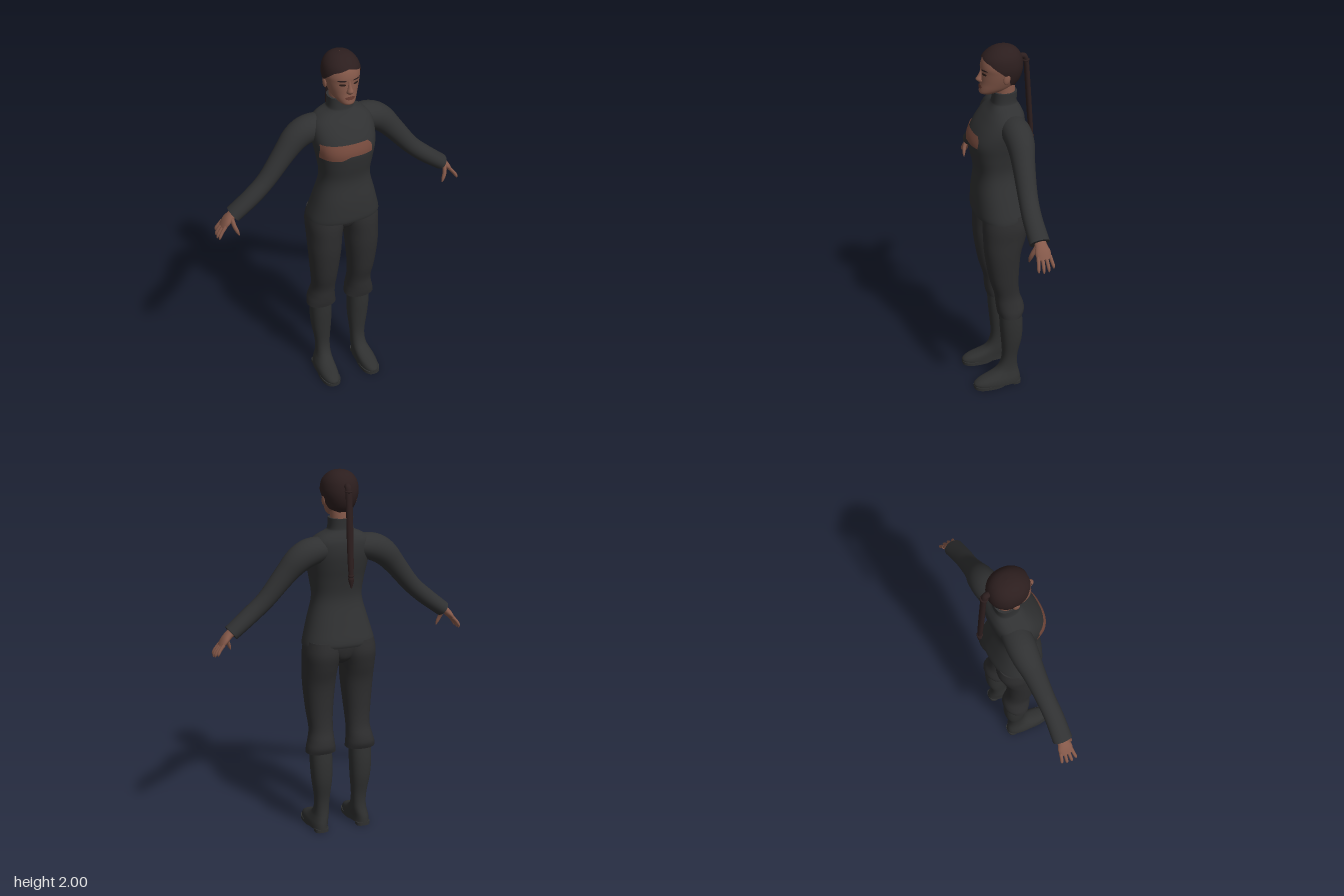
import * as THREE from 'three';

const mat = (name, color) => {
  const m = new THREE.MeshStandardMaterial({ color });
  m.name = name;
  return m;
};

// Smooth interpolation through a list of equal-length rows, t in 0..rows-1
function sample(rows, t) {
  const last = rows.length - 1;
  const i = Math.min(Math.floor(t), last - 1), f = t - i;
  const at = k => rows[Math.max(0, Math.min(last, k))];
  const [a, b, c, d] = [at(i - 1), at(i), at(i + 1), at(i + 2)];
  return b.map((_, k) => b[k] + 0.5 * f * (c[k] - a[k] + f * (2 * a[k] - 5 * b[k] + 4 * c[k] - d[k]
    + f * (3 * (b[k] - c[k]) + d[k] - a[k]))));
}

// Surface grid from f(u, v); closed grids wrap in u and may have end caps
function grid(nu, nv, f, closed = true, caps = true) {
  const pos = [], idx = [], cols = closed ? nu : nu + 1;
  for (let i = 0; i <= nv; i++)
    for (let j = 0; j < cols; j++) pos.push(...f(j / nu, i / nv));
  for (let i = 0; i < nv; i++)
    for (let j = 0; j < nu; j++) {
      const k = (j + 1) % cols;
      const a = i * cols + j, b = i * cols + k, c = b + cols, d = a + cols;
      idx.push(a, b, c, a, c, d);
    }
  if (closed && caps) for (const end of [0, nv]) {
    const base = pos.length / 3, mid = [0, 0, 0];
    for (let j = 0; j < nu; j++) {
      const p = f(j / nu, end / nv);
      pos.push(...p);
      p.forEach((c, k) => { mid[k] += c / nu; });
    }
    pos.push(...mid);
    for (let j = 0; j < nu; j++) {
      const a = base + j, b = base + (j + 1) % nu;
      idx.push(base + nu, ...(end ? [a, b] : [b, a]));
    }
  }
  const g = new THREE.BufferGeometry();
  g.setAttribute('position', new THREE.Float32BufferAttribute(pos, 3));
  g.setIndex(idx);
  g.computeVertexNormals();
  return g;
}

// Upright section: row = [y, centre x, half width, front z, back z]
const spow = (v, p) => Math.sign(v) * Math.abs(v) ** p;
function section([y, cx, w, zf, zb], angle, n) {
  return [cx + w * spow(Math.sin(angle), 2 / n), y,
    (zf + zb) / 2 + (zf - zb) / 2 * spow(Math.cos(angle), 2 / n)];
}
const upright = (rows, n = 2, seg = 32, caps = true) => grid(seg, (rows.length - 1) * 4,
  (u, v) => section(sample(rows, v * (rows.length - 1)), u * Math.PI * 2, n), true, caps);

function rowAtY(rows, y) {
  let lo = 0, hi = rows.length - 1;
  for (let i = 0; i < 30; i++) {
    const m = (lo + hi) / 2;
    if (sample(rows, m)[0] < y) lo = m; else hi = m;
  }
  return sample(rows, lo);
}

// Thin patch lying on the front of an upright surface, span(u) gives [x, low y, high y]
const patch = (rows, n, span, lift = 0.004, nu = 24, nv = 6) => grid(nu, nv, (u, v) => {
  const [x, lo, hi] = span(u), y = lo + (hi - lo) * v;
  const [, cx, w, zf, zb] = rowAtY(rows, y);
  const r = Math.min(Math.abs(x - cx) / w, 0.985);
  return [x * 1.01, y, (zf + zb) / 2 + (zf - zb) / 2 * (1 - r ** n) ** (1 / n) + lift];
}, false);
const oval = (x, y, hw, hh) => u => {
  const s = u * 2 - 1, h = hh * Math.sqrt(Math.max(0, 1 - s * s));
  return [x + s * hw, y - h, y + h];
};

// Limb along a path: row = [x, y, z, radius along ref, radius across]
function limb(rows, seg = 20, steps = 4, ref = [0, 0, 1]) {
  const n = rows.length - 1, V = a => new THREE.Vector3(...a.slice(0, 3));
  return grid(seg, n * steps, (u, v) => {
    const t = v * n, r = sample(rows, t);
    const T = V(sample(rows, Math.min(n, t + 0.05))).sub(V(sample(rows, Math.max(0, t - 0.05)))).normalize();
    const A = V(ref).addScaledVector(T, -V(ref).dot(T)).normalize(), B = T.clone().cross(A);
    const a = u * Math.PI * 2;
    return V(r).addScaledVector(A, r[3] * Math.cos(a)).addScaledVector(B, r[4] * Math.sin(a)).toArray();
  });
}

function mirrored(geo) {
  const g = geo.clone().scale(-1, 1, 1), ix = g.index.array;
  for (let i = 0; i < ix.length; i += 3) [ix[i], ix[i + 1]] = [ix[i + 1], ix[i]];
  g.computeVertexNormals();
  return g;
}

export function createModel() {
  const model = new THREE.Group();
  const cloth = mat('charcoal cloth', 0x303132), trouser = mat('dark trousers', 0x2d2d2e);
  const leather = mat('boot leather', 0x2f3030), skin = mat('skin', 0x85594a);
  const badge = mat('brown panel', 0x74493c), hairMat = mat('dark hair', 0x2c1e1e);
  const lipMat = mat('lips', 0x63392f), eyeMat = mat('eyes', 0x2a1c18);
  badge.side = hairMat.side = THREE.DoubleSide;
  const add = (name, geo, m) => {
    const mesh = new THREE.Mesh(geo, m);
    mesh.name = name;
    model.add(mesh);
  };
  const pair = (name, geo, m) => {
    add('left' + name, geo, m);
    add('right' + name, mirrored(geo), m);
  };

  // Tunic with high collar
  const torso = [
    [1.07, 0, .197, .145, -.123], [1.10, 0, .192, .15, -.127], [1.20, 0, .165, .148, -.1],
    [1.32, 0, .135, .137, -.072], [1.42, 0, .145, .155, -.085], [1.50, 0, .16, .164, -.105],
    [1.57, 0, .168, .135, -.118], [1.63, 0, .16, .092, -.117], [1.665, 0, .125, .062, -.105],
    [1.688, 0, .078, .045, -.092], [1.705, 0, .066, .04, -.086], [1.755, 0, .064, .036, -.088]];
  add('tunic', upright(torso, 2.4, 48), cloth);
  add('chestPanel', patch(torso, 2.4, u => {
    const x = -.156 + .258 * u, end = Math.min(1, 8 * (1 - u) + .4);
    return [x, 1.47 + .02 * THREE.MathUtils.smoothstep(u, .3, .55), 1.51 + .042 * end];
  }, .005), badge);

  // Sleeves
  pair('Sleeve', limb([
    [.08, 1.60, -.03, .07, .06], [.17, 1.587, -.037, .075, .073], [.24, 1.55, -.038, .07, .07],
    [.31, 1.475, -.03, .058, .058], [.41, 1.355, -.02, .05, .048], [.50, 1.275, -.015, .05, .046],
    [.603, 1.195, -.02, .052, .042]], 24), cloth);

  // Hands
  pair('Palm', limb([
    [.575, 1.217, -.022, .028, .022], [.615, 1.188, -.022, .032, .021],
    [.64, 1.162, -.024, .04, .018], [.663, 1.133, -.026, .036, .011]], 16), skin);
  for (let i = 0; i < 4; i++) {
    const z = .004 - i * .02, len = [.92, 1, .95, .78][i], spread = (1.5 - i) * .006;
    pair('Finger' + (i + 1), limb([
      [.652, 1.147, z, .010, .010], [.652 + .026 * len, 1.147 - .030 * len, z + spread * .5, .009, .009],
      [.652 + .042 * len, 1.147 - .055 * len, z + spread, .008, .008],
      [.652 + .046 * len, 1.147 - .07 * len, z + spread, .003, .003]], 8, 3), skin);
  }
  pair('Thumb', limb([
    [.618, 1.182, .002, .013, .012], [.612, 1.145, .02, .012, .011],
    [.6, 1.112, .028, .009, .009], [.592, 1.09, .03, .003, .003]], 8, 3), skin);

  // Trousers gathered below the knee
  pair('TrouserLeg', upright([
    [.468, .115, .083, .043, -.088], [.50, .115, .079, .05, -.1], [.54, .112, .071, .055, -.095],
    [.60, .108, .065, .062, -.076], [.70, .110, .073, .09, -.07], [.85, .109, .087, .114, -.08],
    [.95, .106, .092, .12, -.108], [1.03, .1, .1, .12, -.125], [1.10, .094, .094, .11, -.115]], 2.2), trouser);
  add('pelvis', upright([
    [.965, 0, .02, .025, -.05], [1.0, 0, .07, .08, -.095], [1.05, 0, .13, .105, -.112],
    [1.1, 0, .17, .11, -.115]], 2.3), trouser);

  // Tall boots with separate heel and sole
  pair('Boot', upright([
    [.014, .123, .053, .186, -.083], [.03, .123, .053, .187, -.082], [.05, .121, .051, .16, -.08],
    [.075, .116, .046, .095, -.075], [.10, .112, .042, .052, -.07], [.14, .11, .04, .027, -.066],
    [.20, .11, .043, .018, -.07], [.30, .113, .055, .025, -.09], [.40, .115, .06, .033, -.094],
    [.50, .115, .058, .036, -.085]], 2.3), leather);
  const plate = (zf, zb, w) => upright([[0, .123, w, zf, zb], [.018, .123, w, zf, zb]], 2.5);
  pair('BootHeel', plate(-.02, -.083, .04), leather);
  pair('BootSole', plate(.188, .005, .053), leather);

  // Head and neck
  const head = [
    [1.748, 0, .018, .09, .04], [1.758, 0, .038, .107, .01], [1.78, 0, .058, .107, -.055],
    [1.81, 0, .072, .102, -.088], [1.84, 0, .082, .1, -.104], [1.87, 0, .089, .098, -.112],
    [1.90, 0, .092, .098, -.113], [1.94, 0, .084, .086, -.105], [1.97, 0, .063, .056, -.085],
    [1.987, 0, .036, .022, -.055], [1.993, 0, .001, -.015, -.017]];
  add('head', upright(head, 2.1, 40), skin);
  add('neck', upright([[1.69, 0, .056, .03, -.08], [1.75, 0, .054, .03, -.08],
    [1.81, 0, .056, .035, -.075]]), skin);
  add('nose', upright([
    [1.812, 0, .008, .106, .08], [1.82, 0, .017, .116, .08], [1.832, 0, .017, .126, .08],
    [1.85, 0, .011, .115, .08], [1.872, 0, .008, .104, .08], [1.888, 0, .008, .099, .08]], 2, 16), skin);
  const ear = new THREE.SphereGeometry(1, 12, 10).scale(.009, .03, .018).rotateX(-.2).translate(.087, 1.848, -.012);
  pair('Ear', ear, skin);
  pair('Eye', patch(head, 2.1, oval(.036, 1.866, .016, .006), .003, 10, 3), eyeMat);
  pair('Eyebrow', patch(head, 2.1, oval(.038, 1.887, .022, .004), .003, 10, 3), hairMat);
  add('mouth', patch(head, 2.1, oval(0, 1.793, .027, .009), .003, 12, 4), lipMat);

  // Swept-back hair with a hairline that drops behind the ears
  const line = [[0, 1.942], [.8, 1.922], [1.3, 1.888], [1.6, 1.862], [2, 1.81], [Math.PI, 1.785]];
  const hairline = a => {
    const k = Math.max(1, line.findIndex(p => p[0] >= a - 1e-9));
    const [p, q] = [line[k - 1], line[k]];
    return p[1] + (q[1] - p[1]) * (a - p[0]) / (q[0] - p[0]);
  };
  add('hair', grid(48, 20, (u, v) => {
    const a = u * Math.PI * 2, low = hairline(Math.min(a, Math.PI * 2 - a));
    const y = low + (1.993 - low) * (1 - (1 - v) ** 2);
    const [px, py, pz] = section(rowAtY(head, y), a, 2.1);
    return [px * 1.055, 1.88 + (py - 1.88) * 1.06, -.01 + (pz + .01) * 1.055];
  }, true, false), hairMat);

  // Long hanging braid and its ties
  add('braid', limb([
    [0, 1.925, -.1, .014, .014], [0, 1.928, -.128, .017, .014], [0, 1.89, -.14, .018, .014],
    [0, 1.78, -.149, .018, .014], [0, 1.65, -.158, .018, .014], [0, 1.53, -.167, .016, .013],
    [0, 1.47, -.172, .013, .011], [0, 1.455, -.173, .016, .013], [0, 1.41, -.177, .003, .003]],
  12, 5, [1, 0, 0]), hairMat);
  for (const [y, z, r] of [[1.905, -.137, .016], [1.475, -.171, .012]])
    add('braidTie', new THREE.TorusGeometry(r, .005, 8, 16).rotateX(Math.PI / 2).translate(0, y, z), hairMat);

  return model;
}
